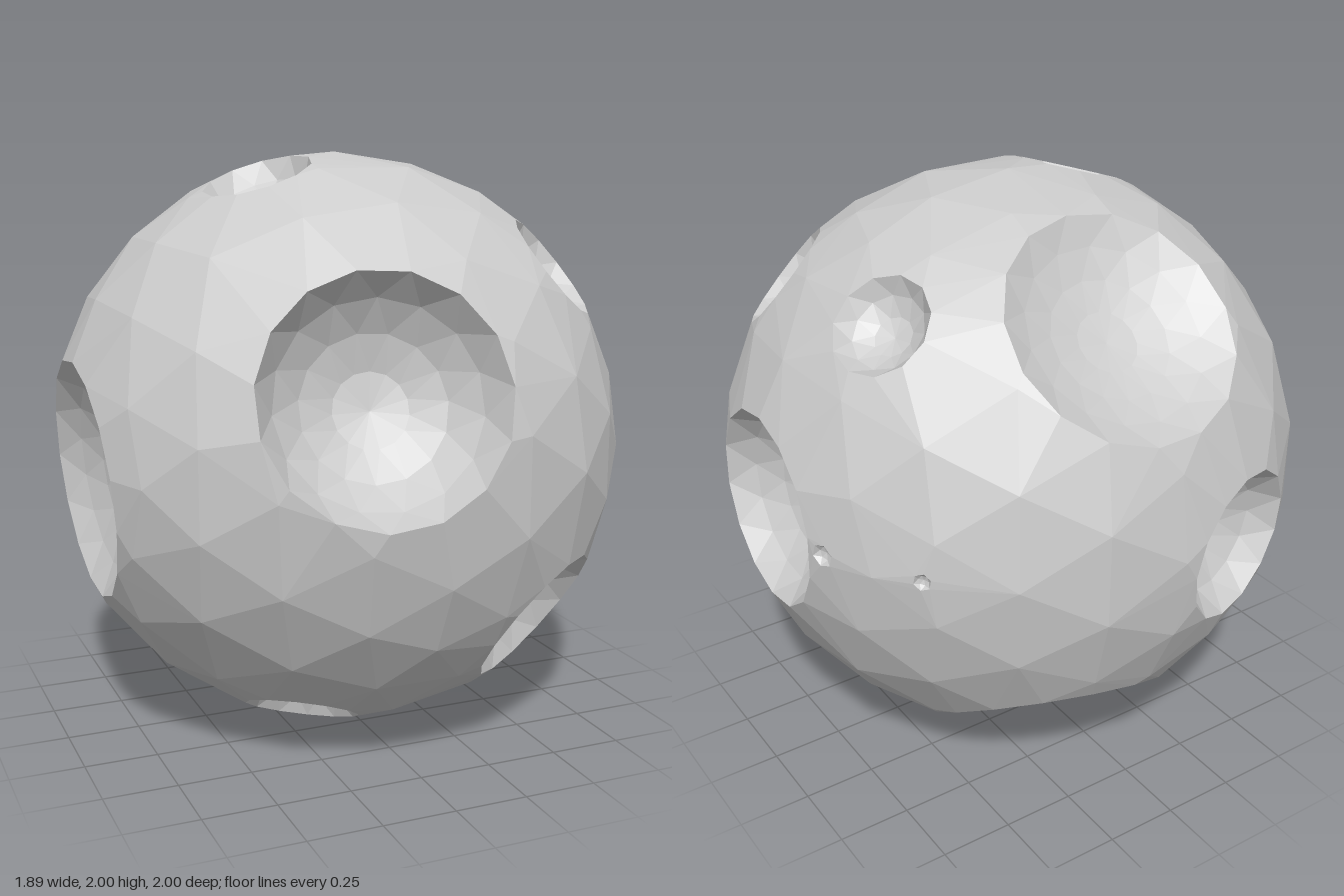
import * as THREE from 'three';
import { ConvexGeometry } from 'three/addons/geometries/ConvexGeometry.js';

// Craters: direction from the ball's centre (x, y, z), rim radius,
// and steepness as the half-angle of the bowl's cap in degrees
const CRATERS = [
  [-0.19, 0.305, 0.90, 0.40, 67],  // large front
  [0.48, -0.55, 0.67, 0.27, 53],   // lower front
  [-0.285, -0.87, 0.40, 0.195, 58], // underside
  [0.62, 0.62, 0.44, 0.20, 60],    // upper front left
  [0.66, 0.71, -0.28, 0.17, 60],   // upper back left
  [0.94, 0.00, 0.03, 0.34, 63],    // left side
  [0.00, 0.69, -0.66, 0.40, 32],   // upper back, shallow
  [-0.32, 0.94, 0.10, 0.19, 66],   // top
  [0.165, -0.82, -0.53, 0.41, 72], // lower back
  [-0.30, -0.08, -0.92, 0.265, 64], // back
  [-0.92, -0.08, 0.00, 0.41, 42],  // right side, shallow
  [0.93, 0.02, -0.36, 0.04, 60],   // tiny pit beside the left crater
  [0.75, 0.02, -0.66, 0.03, 60],   // tiny pit towards the back
].map(([x, y, z, r, steepness]) => {
  const dir = new THREE.Vector3(x, y, z).normalize();
  const u = new THREE.Vector3(0.3, 1, 0.2).cross(dir).normalize();
  const v = dir.clone().cross(u);
  const sides = r < 0.1 ? 6 : Math.round(8 + r * 18);
  return { dir, u, v, r, sides, angle: Math.asin(r), bowl: THREE.MathUtils.degToRad(steepness) };
});

// Ring of points around a crater's axis
function ring(c, radius, height, turn) {
  return Array.from({ length: c.sides }, (_, i) => {
    const a = (i + turn) / c.sides * Math.PI * 2;
    return c.dir.clone().multiplyScalar(height)
      .addScaledVector(c.u, radius * Math.cos(a))
      .addScaledVector(c.v, radius * Math.sin(a));
  });
}

// Faceted ball whose hull has a flat polygon at each crater; those are left open
function surfaceGeometry() {
  const points = [];
  const pos = new THREE.IcosahedronGeometry(1, 3).attributes.position;
  const seen = new Set();
  for (let i = 0; i < pos.count; i++) {
    const p = new THREE.Vector3().fromBufferAttribute(pos, i);
    const key = p.toArray().map((n) => Math.round(n * 1000)).join();
    if (seen.has(key)) continue;
    seen.add(key);
    if (CRATERS.every((c) => p.angleTo(c.dir) > c.angle + 0.03)) points.push(p);
  }
  for (const c of CRATERS) points.push(...ring(c, c.r, Math.cos(c.angle), 0));

  const hull = new ConvexGeometry(points).attributes.position;
  const kept = [];
  for (let i = 0; i < hull.count; i += 3) {
    const tri = [0, 1, 2].map((k) => new THREE.Vector3().fromBufferAttribute(hull, i + k));
    const isLid = CRATERS.some((c) => tri.every((p) => p.dot(c.dir) > Math.cos(c.angle) - 1e-4));
    if (!isLid) kept.push(...tri);
  }
  return new THREE.BufferGeometry().setFromPoints(kept);
}

// Concave faceted bowl made of staggered rings sinking from the rim
function bowlGeometry(c) {
  const R = c.r / Math.sin(c.bowl);
  const rimHeight = Math.cos(c.angle);
  const depthAt = (a) => rimHeight - R * (Math.cos(a) - Math.cos(c.bowl));
  const steps = c.r < 0.1 ? 2 : c.r < 0.3 ? 3 : 4;
  const tris = [];
  let outer = ring(c, c.r, rimHeight, 0);
  for (let s = 1; s < steps; s++) {
    const a = c.bowl * (1 - s / steps);
    const inner = ring(c, R * Math.sin(a), depthAt(a), s / 2);
    for (let i = 0; i < c.sides; i++) {
      const j = (i + 1) % c.sides;
      tris.push(outer[i], outer[j], inner[i], outer[j], inner[j], inner[i]);
    }
    outer = inner;
  }
  const floor = c.dir.clone().multiplyScalar(depthAt(0));
  for (let i = 0; i < c.sides; i++) tris.push(outer[i], outer[(i + 1) % c.sides], floor);
  return new THREE.BufferGeometry().setFromPoints(tris);
}

export function createModel() {
  const group = new THREE.Group();
  group.name = 'crateredBall';
  const material = new THREE.MeshStandardMaterial({ color: 0xcccccc, flatShading: true });

  function add(name, geometry) {
    geometry.computeVertexNormals();
    const mesh = new THREE.Mesh(geometry, material);
    mesh.name = name;
    mesh.position.y = 1;
    group.add(mesh);
  }

  add('ballSurface', surfaceGeometry());
  CRATERS.forEach((c, i) => add(`crater${i + 1}`, bowlGeometry(c)));
  return group;
}
